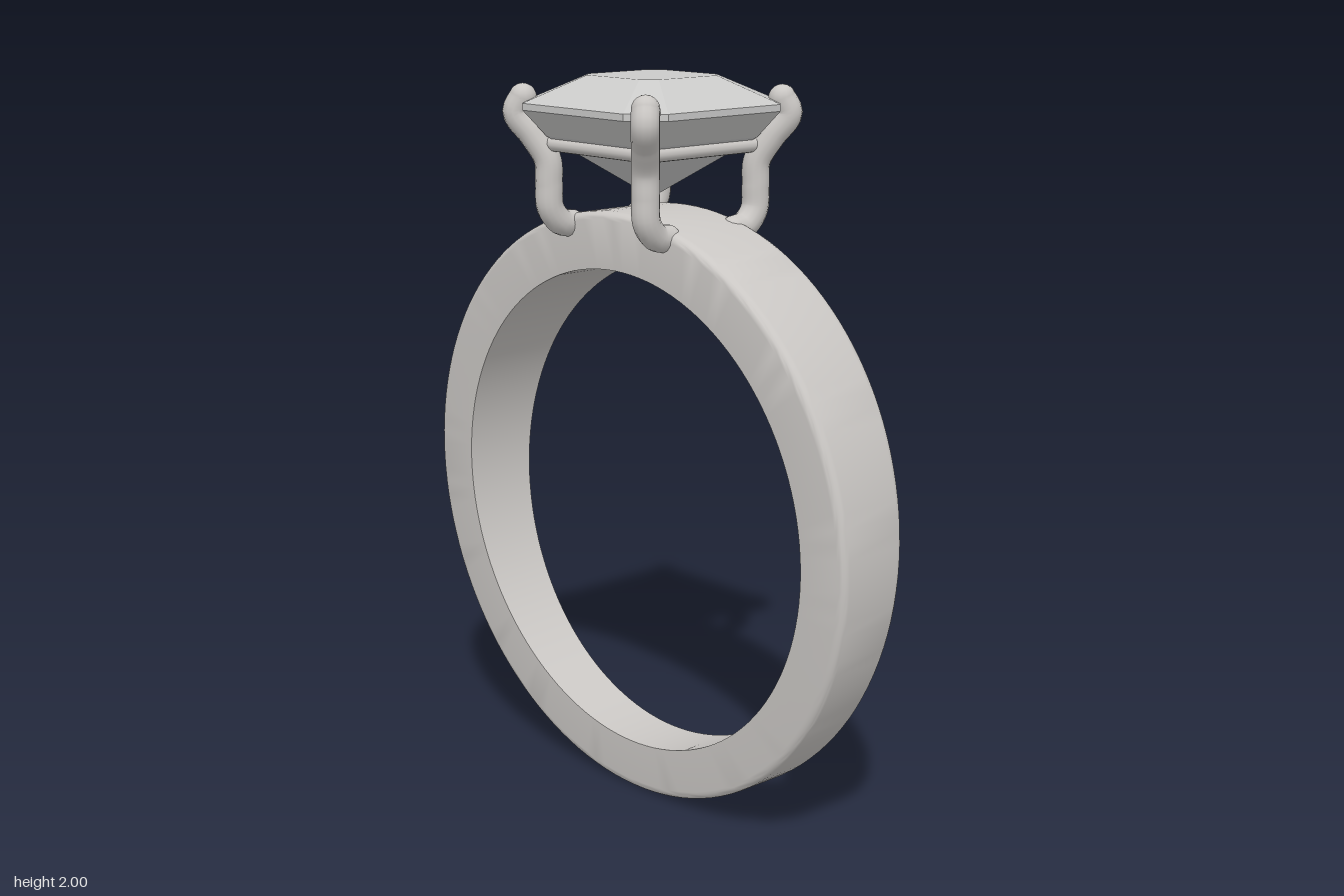
import * as THREE from 'three';
import { toCreasedNormals } from 'three/addons/utils/BufferGeometryUtils.js';

const metal = new THREE.MeshStandardMaterial({ color: 0xcac7c4 });
metal.name = 'silver metal';
const stone = new THREE.MeshStandardMaterial({ color: 0xcacac9 });
stone.name = 'clear stone';

function addMesh(parent, name, geometry, material) {
  const mesh = new THREE.Mesh(geometry, material);
  mesh.name = name;
  parent.add(mesh);
  return mesh;
}

// Band: unit-depth lathe profile, widened towards the top
function bandGeometry() {
  const R = 0.823, inner = 0.675, round = 0.022, profile = [];
  profile.push([inner, -1, 0]);
  for (let i = 0; i <= 5; i++) {
    const a = (i / 5) * Math.PI / 2;
    profile.push([R - round + round * Math.sin(a), -1, round * (1 - Math.cos(a))]);
  }
  const points = [...profile, ...profile.slice().reverse().map(([r, , c]) => [r, 1, c]), profile[0]];
  const geo = new THREE.LatheGeometry(points.map(([r, s, c]) => new THREE.Vector2(r, s * (1 - c / 0.11))), 128);
  geo.rotateX(Math.PI / 2);
  const p = geo.attributes.position;
  for (let i = 0; i < p.count; i++) {
    const isInner = Math.hypot(p.getX(i), p.getY(i)) < 0.7;
    const y = p.getY(i) + R - (isInner ? 0.007 : 0);
    p.setXYZ(i, p.getX(i), y, p.getZ(i) * (0.077 + 0.04 * y));
  }
  return toCreasedNormals(geo, 0.6);
}

// Gem: stacked square rings with cut corners [half width, corner cut, height]
function gemGeometry() {
  const tiers = [
    [0, 0, 1.675], [0.22, 0.045, 1.84], [0.28, 0.08, 1.91],
    [0.28, 0.08, 1.928], [0.138, 0.035, 2.0], [0, 0, 2.0],
  ];
  const rings = tiers.map(([h, c, y]) => {
    const k = h - c;
    return [[h, -k], [h, k], [k, h], [-k, h], [-h, k], [-h, -k], [-k, -h], [k, -h]].map(([x, z]) => [x, y, z]);
  });
  const pos = [];
  for (let t = 0; t < rings.length - 1; t++) {
    for (let i = 0; i < 8; i++) {
      const j = (i + 1) % 8, a = rings[t], b = rings[t + 1];
      if (tiers[t + 1][0] > 0) pos.push(...a[i], ...b[i], ...b[j]);
      if (tiers[t][0] > 0) pos.push(...a[i], ...b[j], ...a[j]);
    }
  }
  const geo = new THREE.BufferGeometry();
  geo.setAttribute('position', new THREE.Float32BufferAttribute(pos, 3));
  geo.computeVertexNormals();
  return geo;
}

// Prong: bent wire with round ends, placed in the corner given by the signs
function makeProng(sx, sz) {
  const prong = new THREE.Group();
  prong.name = 'prong';
  const path = [
    [0.19, 1.597, 0.12], [0.19, 1.605, 0.16], [0.193, 1.645, 0.194], [0.193, 1.71, 0.198],
    [0.195, 1.775, 0.2], [0.224, 1.84, 0.226], [0.256, 1.9, 0.256], [0.243, 1.94, 0.243],
  ].map(([x, y, z]) => new THREE.Vector3(sx * x, y, sz * z));
  const r = 0.037;
  addMesh(prong, 'prongWire', new THREE.TubeGeometry(new THREE.CatmullRomCurve3(path), 40, r, 14), metal);
  for (const end of [path[0], path[path.length - 1]]) {
    addMesh(prong, 'prongTip', new THREE.SphereGeometry(r, 14, 10), metal).position.copy(end);
  }
  return prong;
}

export function createModel() {
  const ring = new THREE.Group();
  ring.name = 'ring';
  addMesh(ring, 'band', bandGeometry(), metal);
  addMesh(ring, 'gem', gemGeometry(), stone);

  for (const sx of [-1, 1]) for (const sz of [-1, 1]) ring.add(makeProng(sx, sz));

  // Rail joining the prongs beneath the gem
  for (let i = 0; i < 4; i++) {
    const rail = addMesh(ring, 'rail', new THREE.CylinderGeometry(0.019, 0.019, 0.41, 12), metal);
    const a = (i * Math.PI) / 2;
    rail.rotation.set(0, a, Math.PI / 2, 'YXZ');
    rail.position.set(0.2 * Math.sin(a), 1.817, 0.2 * Math.cos(a));
  }
  return ring;
}
